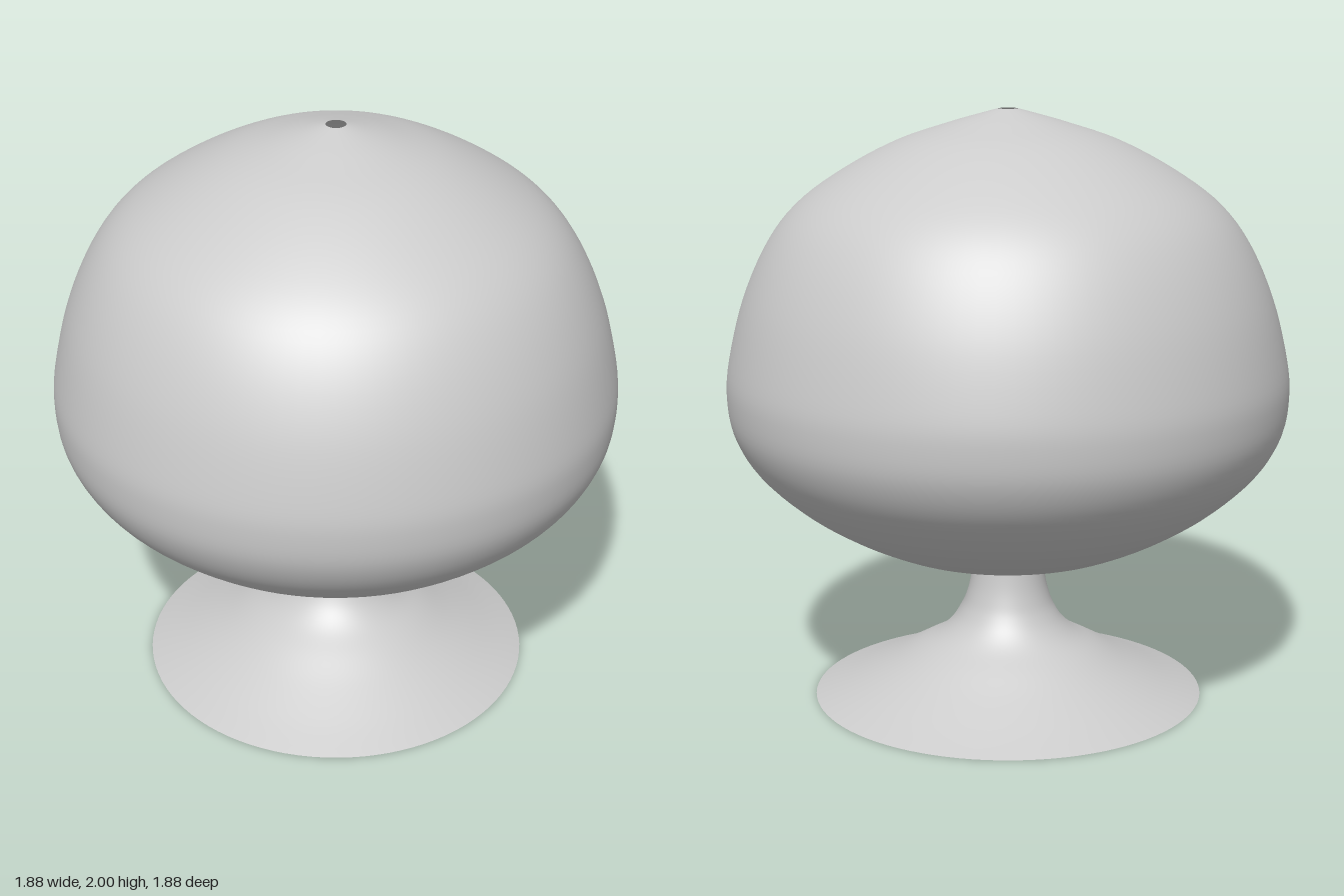
import * as THREE from 'three';

const material = new THREE.MeshStandardMaterial({ color: 0xcccccc, side: THREE.DoubleSide });

// Smooth surface of revolution through a few [radius, height] points, bottom to top
function turned(name, points, steps) {
  const curve = new THREE.SplineCurve(points.map(([r, y]) => new THREE.Vector2(r, y)));
  const mesh = new THREE.Mesh(new THREE.LatheGeometry(curve.getPoints(steps), 96), material);
  mesh.name = name;
  return mesh;
}

export function createModel() {
  const model = new THREE.Group();
  model.name = 'tableLamp';

  // Hollow shade: lower lip curls up around the stem, small vent hole at the top
  const shade = turned('shade', [
    [0.145, 0.575], [0.18, 0.55], [0.24, 0.527], [0.31, 0.515], [0.37, 0.52],
    [0.45, 0.547], [0.58, 0.61], [0.72, 0.70], [0.85, 0.82], [0.92, 0.94],
    [0.94, 1.06], [0.93, 1.18], [0.88, 1.38], [0.8, 1.56], [0.7, 1.69],
    [0.55, 1.80], [0.37, 1.895], [0.2, 1.953], [0.1, 1.982], [0.033, 2.0],
  ], 90);

  // Open trumpet foot running up into the stem
  const base = turned('baseAndStem', [
    [0.665, 0], [0.55, 0.045], [0.42, 0.105], [0.32, 0.16], [0.24, 0.205],
    [0.19, 0.25], [0.158, 0.3], [0.14, 0.35], [0.127, 0.41], [0.118, 0.49], [0.113, 0.6],
  ], 60);

  // Slight swelling of the neck towards both sides
  const pos = base.geometry.attributes.position;
  for (let i = 0; i < pos.count; i++) {
    const x = pos.getX(i), y = pos.getY(i), z = pos.getZ(i);
    const r = Math.hypot(x, z);
    const swell = 0.014 * (x / r) ** 4 * Math.exp(-(((y - 0.29) / 0.05) ** 2));
    pos.setX(i, x * (1 + swell / r));
    pos.setZ(i, z * (1 + swell / r));
  }

  model.add(shade, base);
  return model;
}
